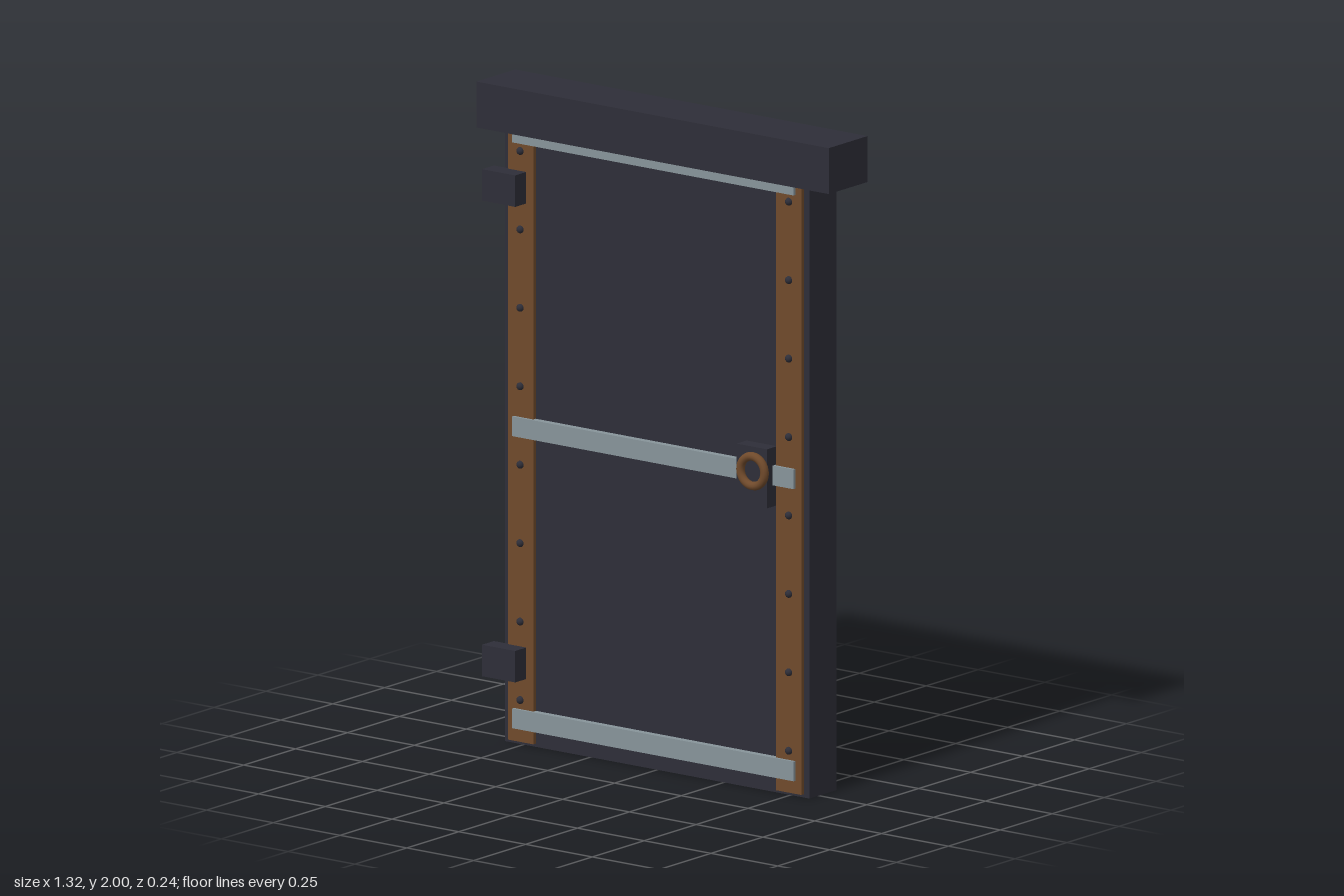
import * as THREE from 'three';

const mat = (name, color) => {
  const m = new THREE.MeshStandardMaterial({ color });
  m.name = name;
  return m;
};

export function createModel() {
  const door = new THREE.Group();
  door.name = 'door';
  const iron = mat('dark iron', 0x2e2e38);
  const rust = mat('rusty brown', 0x704a2b);
  const steel = mat('grey steel', 0x87949a);

  const add = (name, geometry, material, x, y, z) => {
    const mesh = new THREE.Mesh(geometry, material);
    mesh.name = name;
    mesh.position.set(x, y, z);
    door.add(mesh);
    return mesh;
  };
  // Box given by its limits on each axis
  const box = (name, material, [x0, x1], [y0, y1], [z0, z1]) =>
    add(name, new THREE.BoxGeometry(x1 - x0, y1 - y0, z1 - z0), material,
      (x0 + x1) / 2, (y0 + y1) / 2, (z0 + z1) / 2);

  // Slab and the lintel above it
  box('slab', iron, [-0.57, 0.57], [0, 1.86], [-0.085, 0.045]);
  box('lintel', iron, [-0.66, 0.66], [1.86, 2], [-0.12, 0.067]);

  // Side straps, each with a column of rivets
  const rivet = new THREE.SphereGeometry(0.012, 12, 8);
  for (const side of [-1, 1]) {
    const strap = box('strap', rust, [-0.0475, 0.0475], [0.01, 1.86], [0.045, 0.057]);
    strap.position.x = side * 0.502;
    for (let i = 0; i < 8; i++) {
      add('rivet', rivet, iron, side * 0.503, 0.138 + i * 0.239, 0.057);
    }
  }

  // Cross bars; the top one runs up to the lintel
  for (const [y0, y1] of [[0.05, 0.11], [0.94, 1], [1.835, 1.86]]) {
    box('crossBar', steel, [-0.527, 0.527], [y0, y1], [0.045, 0.066]);
  }

  // Hinges
  for (const y of [0.253, 1.702]) {
    box('hinge', iron, [-0.605, -0.481], [y - 0.048, y + 0.048], [0.053, 0.11]);
  }

  // Lock plate and ring handle
  box('lockPlate', iron, [0.335, 0.449], [0.875, 1.055], [0.045, 0.093]);
  add('ringHandle', new THREE.TorusGeometry(0.045, 0.013, 12, 32), rust, 0.404, 0.984, 0.105);

  return door;
}
